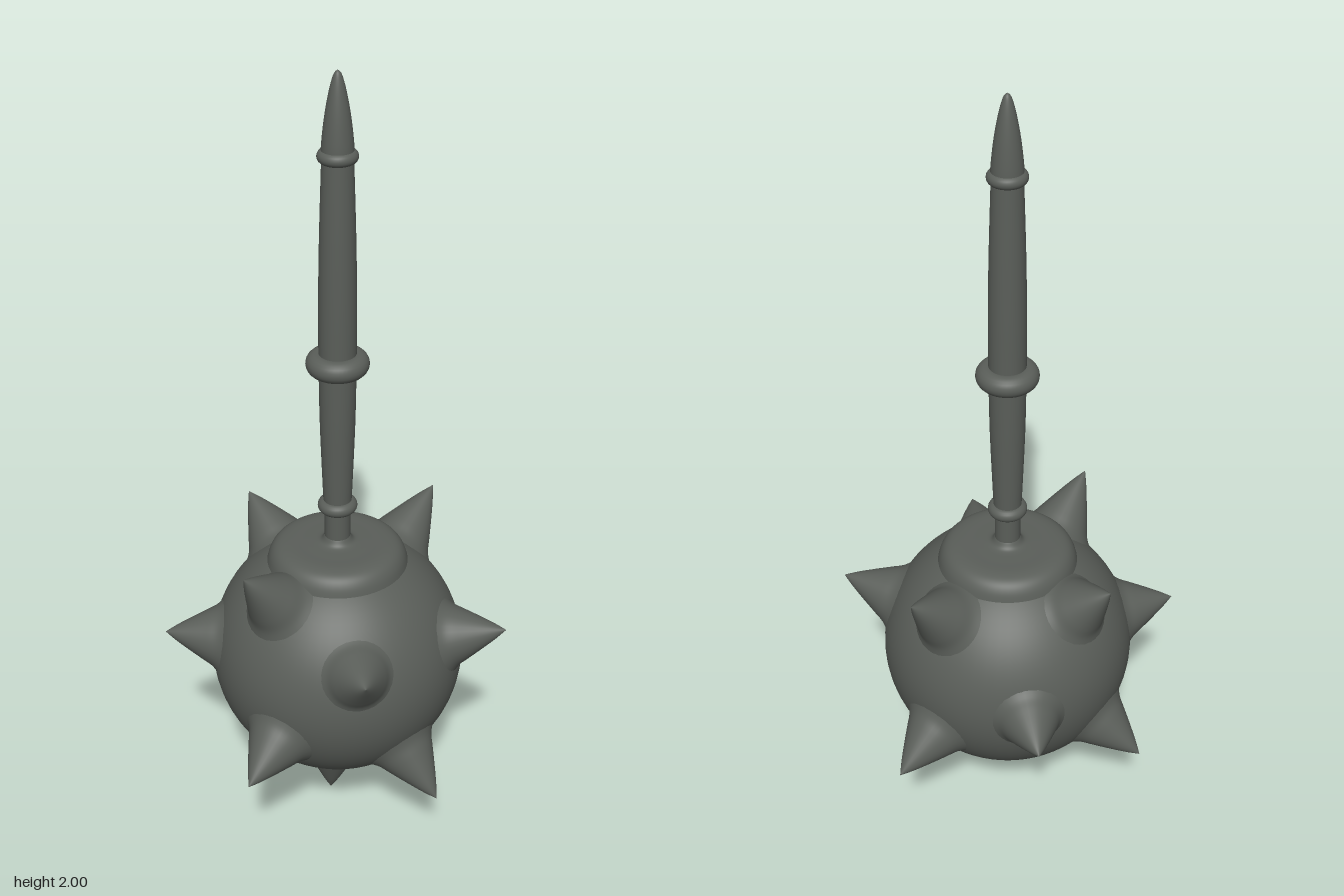
import * as THREE from 'three';

const metal = new THREE.MeshStandardMaterial({ color: 0x5a5e59 });
const HEAD = new THREE.Vector3(-0.007, 0.478, 0.005);
const HEAD_R = 0.323;

// Smooth turned part from a few [radius, height] points, listed bottom to top
function turned(points, samples, sides = 48) {
  const curve = new THREE.SplineCurve(points.map(([r, y]) => new THREE.Vector2(r, y)));
  const profile = curve.getPoints(samples);
  profile.forEach((p) => { p.x = Math.max(p.x, 0); });
  return new THREE.LatheGeometry(profile, sides);
}

export function createModel() {
  const model = new THREE.Group();
  const add = (name, geometry, x = HEAD.x, y = 0, z = HEAD.z) => {
    const mesh = new THREE.Mesh(geometry, metal);
    mesh.name = name;
    mesh.position.set(x, y, z);
    model.add(mesh);
    return mesh;
  };

  // Round striking head
  add('head', new THREE.SphereGeometry(HEAD_R, 64, 48), HEAD.x, HEAD.y, HEAD.z);

  // Low raised collar where the shaft meets the head
  add('collar', turned([
    [0.18, 0.735], [0.17, 0.77], [0.153, 0.791], [0.125, 0.8],
    [0.08, 0.801], [0.045, 0.804], [0.032, 0.82],
  ], 40, 64));

  // Slightly swelling shaft, in two lengths
  add('neck', new THREE.CylinderGeometry(0.032, 0.032, 0.14, 40), HEAD.x, 0.85);
  add('lowerShaft', turned([[0.034, 0.9], [0.038, 1.0], [0.043, 1.15], [0.045, 1.3]], 16));
  add('upperShaft', turned([[0.045, 1.3], [0.045, 1.45], [0.042, 1.62], [0.036, 1.81]], 16));

  // Pointed pommel
  add('pommel', turned([
    [0.038, 1.8], [0.036, 1.84], [0.029, 1.9], [0.019, 1.955], [0.009, 1.99], [0, 2.0],
  ], 30));

  // Rounded rings: height, centre radius, thickness
  const rings = [
    ['lowerRing', 0.908, 0.032, 0.017],
    ['gripRing', 1.3, 0.049, 0.027],
    ['upperRing', 1.808, 0.032, 0.015],
  ];
  for (const [name, y, radius, tube] of rings) {
    add(name, new THREE.TorusGeometry(radius, tube, 20, 48), HEAD.x, y).rotation.x = Math.PI / 2;
  }

  // Flared spikes, given by the position of each tip
  const tips = [
    [-0.044, 0.272, -0.405], [0.29, 0.485, -0.33], [-0.34, 0.55, -0.286],
    [0, 0.805, -0.32], [-0.328, 0.84, 0], [0.345, 0.812, 0.02],
    [0.432, 0.317, 0.003], [-0.433, 0.325, 0.105], [-0.249, 0.64, 0.323],
    [-0.044, 0.203, 0.385], [0.19, 0.615, 0.398], [-0.03, 0, 0.002],
  ];
  const spikes = new THREE.Group();
  spikes.name = 'spikes';
  model.add(spikes);
  const up = new THREE.Vector3(0, 1, 0);
  for (const tip of tips) {
    const direction = new THREE.Vector3(...tip).sub(HEAD);
    const length = direction.length();
    const rise = length - 0.3;
    const spike = new THREE.Mesh(turned([
      [0.102, 0.3], [0.08, 0.3 + rise * 0.14], [0.064, 0.3 + rise * 0.32],
      [0.043, 0.3 + rise * 0.56], [0.02, 0.3 + rise * 0.81], [0, length],
    ], 24, 32), metal);
    spike.name = 'spike';
    spike.position.copy(HEAD);
    spike.quaternion.setFromUnitVectors(up, direction.normalize());
    spikes.add(spike);
  }

  return model;
}
